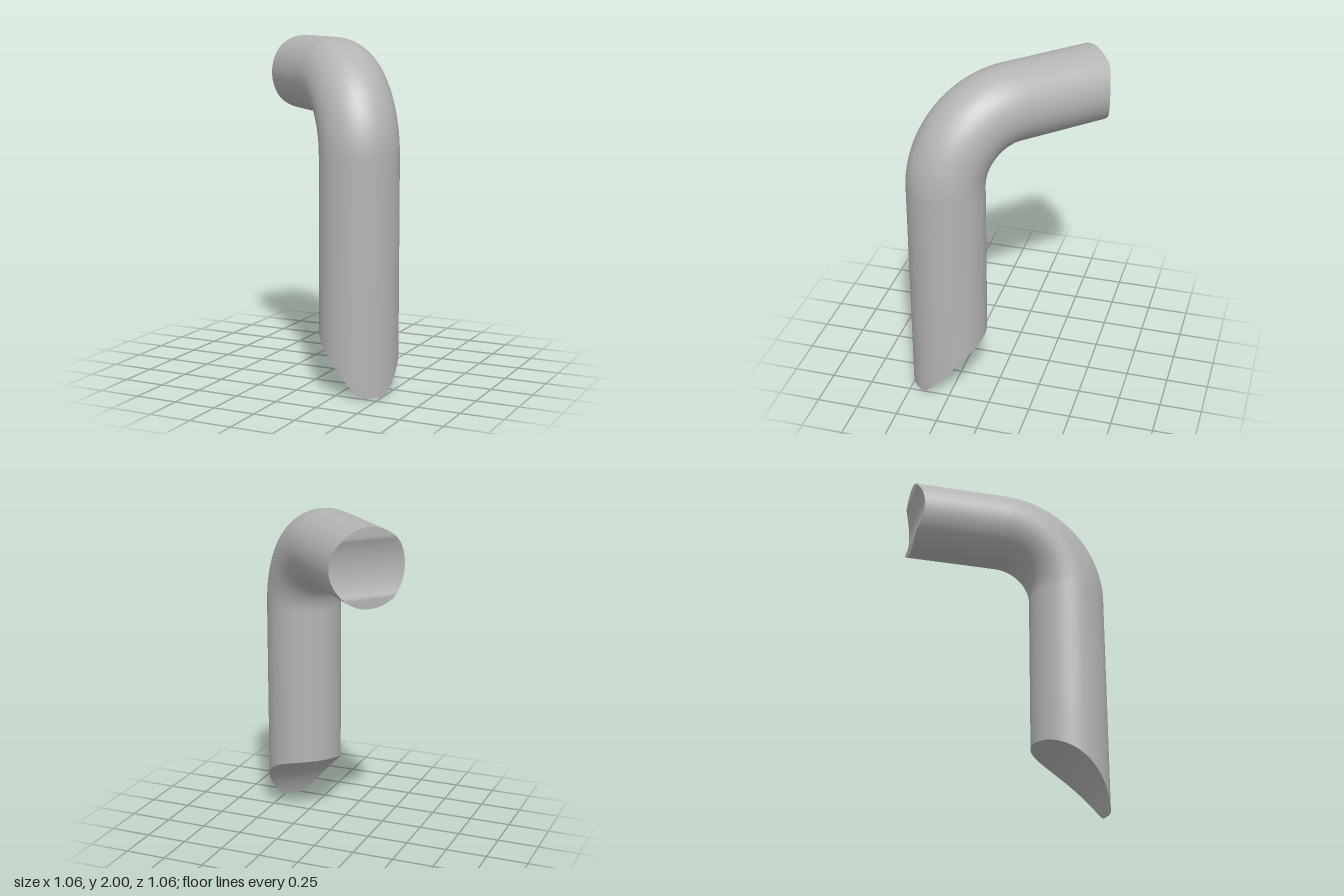
import * as THREE from 'three';
import { toCreasedNormals } from 'three/addons/utils/BufferGeometryUtils.js';

const SIDES = 96;
const R = 0.228;            // pipe radius
const BEND = 0.426;         // centreline radius of the elbow
const BEND_Y = 1.346;       // height where the elbow starts
const ARM_Y = BEND_Y + BEND;

// Scooped cut under the leg: a circular arc that ends on the ground
const footCut = (s) => Math.max(0, Math.sqrt(Math.max(0, 0.348 - (s - 0.0856) ** 2)) - 0.194);
// Shallow saddle cut in the arm end, flat at its top and bottom
const armCut = (dy) => Math.max(-0.559, -0.913 + Math.sqrt(0.39 ** 2 - dy * dy));

// A ring of points; place(c) gives the position in the bend plane for c = R cos(angle)
function ring(place) {
  return Array.from({ length: SIDES }, (_, j) => {
    const a = (j / SIDES) * Math.PI * 2;
    const [s, y] = place(R * Math.cos(a));
    return [s, y, R * Math.sin(a)];
  });
}

function geometryFrom(points, index) {
  const g = new THREE.BufferGeometry();
  g.setAttribute('position', new THREE.Float32BufferAttribute(points.flat(), 3));
  g.setIndex(index);
  g.computeVertexNormals();
  return g;
}

// Smooth skin through consecutive rings
function skin(rings) {
  const index = [];
  for (let i = 0; i < rings.length - 1; i++) {
    for (let j = 0; j < SIDES; j++) {
      const k = (j + 1) % SIDES;
      const a = i * SIDES + j, b = i * SIDES + k;
      const c = a + SIDES, d = b + SIDES;
      index.push(a, c, b, b, c, d);
    }
  }
  return geometryFrom(rings.flat(), index);
}

// Ruled cap joining the mirrored halves of an end ring
function cap(points, flip) {
  const index = [];
  const tri = (a, b, c) => index.push(...(flip ? [a, c, b] : [a, b, c]));
  for (let j = 0; j < SIDES / 2; j++) {
    const p = j, q = j + 1;
    const m = (SIDES - j) % SIDES, n = SIDES - q;
    if (p !== m) tri(p, m, n);
    if (q !== n) tri(p, n, q);
  }
  return toCreasedNormals(geometryFrom(points, index), 0.35);
}

export function createModel() {
  const grey = new THREE.MeshStandardMaterial({ color: 0xb4b4b4 });
  grey.name = 'grey';
  const group = new THREE.Group();
  group.name = 'bentPipe';
  const add = (name, geometry) => {
    const mesh = new THREE.Mesh(geometry, grey);
    mesh.name = name;
    group.add(mesh);
  };

  // Leg, elbow and arm as one continuous pipe
  const foot = ring((c) => [BEND + c, footCut(BEND + c)]);
  const end = ring((c) => [armCut(c), ARM_Y + c]);
  const rings = [foot, ring((c) => [BEND + c, 0.6])];
  const steps = 24;
  for (let i = 0; i <= steps; i++) {
    const a = (i / steps) * Math.PI / 2;
    rings.push(ring((c) => [(BEND + c) * Math.cos(a), BEND_Y + (BEND + c) * Math.sin(a)]));
  }
  rings.push(ring((c) => [-0.4, ARM_Y + c]), end);
  add('pipe', skin(rings));

  // Cut faces
  add('footCutFace', cap(foot, true));
  add('armCutFace', cap(end, false));

  // Turn the bend plane onto the diagonal
  group.rotation.y = -Math.PI / 4;
  return group;
}
